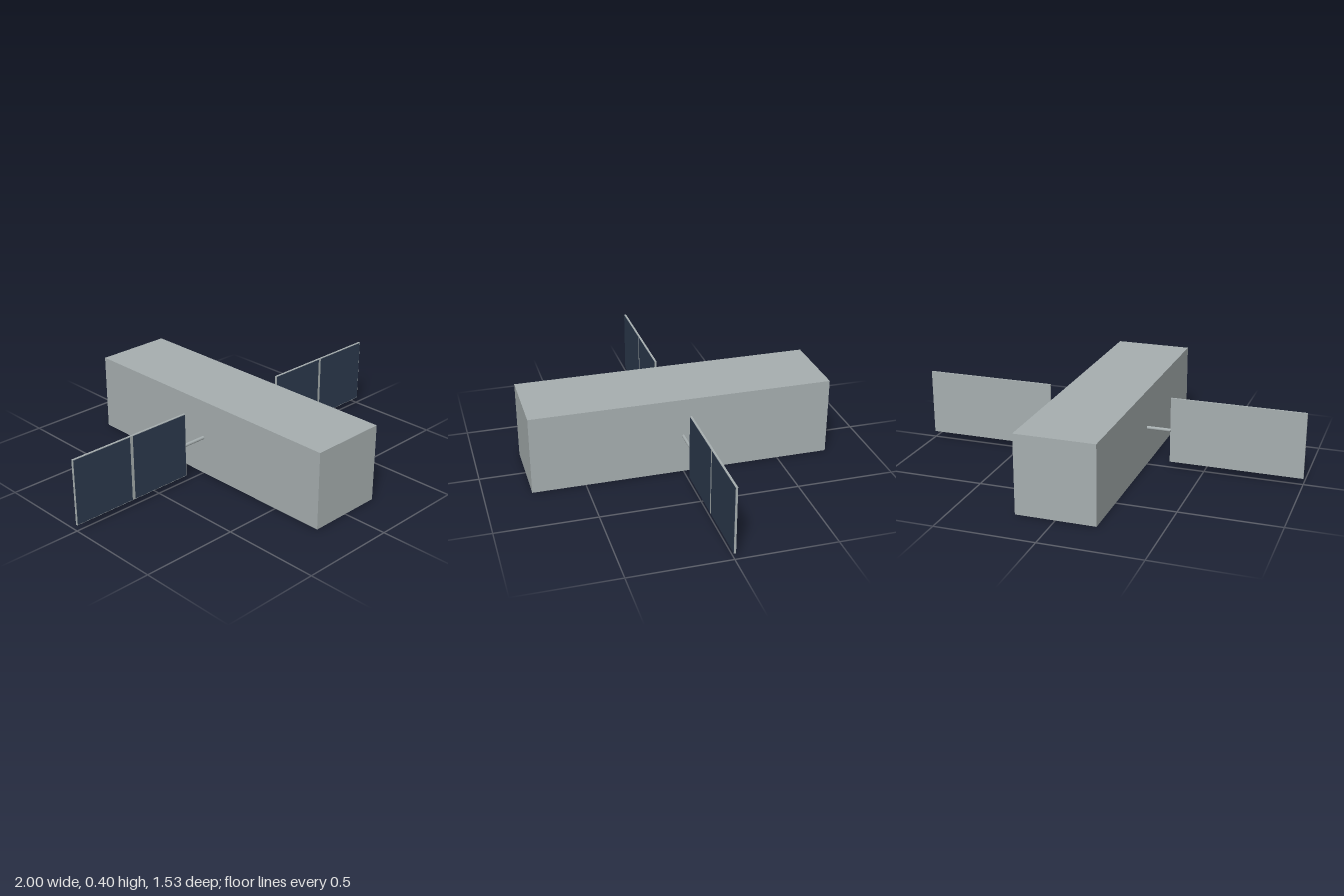
import * as THREE from 'three';

export function createModel() {
  const grey = new THREE.MeshStandardMaterial({ name: 'hull grey', color: 0xa7afb0 });
  const navy = new THREE.MeshStandardMaterial({ name: 'solar navy', color: 0x2d3a4e });

  const model = new THREE.Group();
  model.name = 'satellite';

  const add = (parent, name, geometry, material, x, y, z) => {
    const mesh = new THREE.Mesh(geometry, material);
    mesh.name = name;
    mesh.position.set(x, y, z);
    parent.add(mesh);
    return mesh;
  };

  // Long square hull
  add(model, 'hull', new THREE.BoxGeometry(0.4, 0.4, 1.534), grey, 0, 0.2, 0);

  // Shared wing parts
  const armGeometry = new THREE.CylinderGeometry(0.009, 0.009, 0.14, 8);
  armGeometry.rotateZ(Math.PI / 2);
  const panelGeometry = new THREE.BoxGeometry(0.678, 0.34, 0.01);
  const cellGeometry = new THREE.BoxGeometry(0.327, 0.334, 0.002);

  for (const side of [-1, 1]) {
    const wing = new THREE.Group();
    wing.name = side > 0 ? 'leftWing' : 'rightWing';
    model.add(wing);

    // Arm from hull to panel
    add(wing, 'arm', armGeometry, grey, side * 0.255, 0.2, 0);
    add(wing, 'panel', panelGeometry, grey, side * 0.661, 0.202, 0);

    // Two solar cells on the front face, with a narrow strip between them
    for (const half of [-1, 1]) {
      add(wing, 'solarCell', cellGeometry, navy, side * 0.661 + half * 0.1725, 0.202, 0.0055);
    }
  }

  return model;
}
